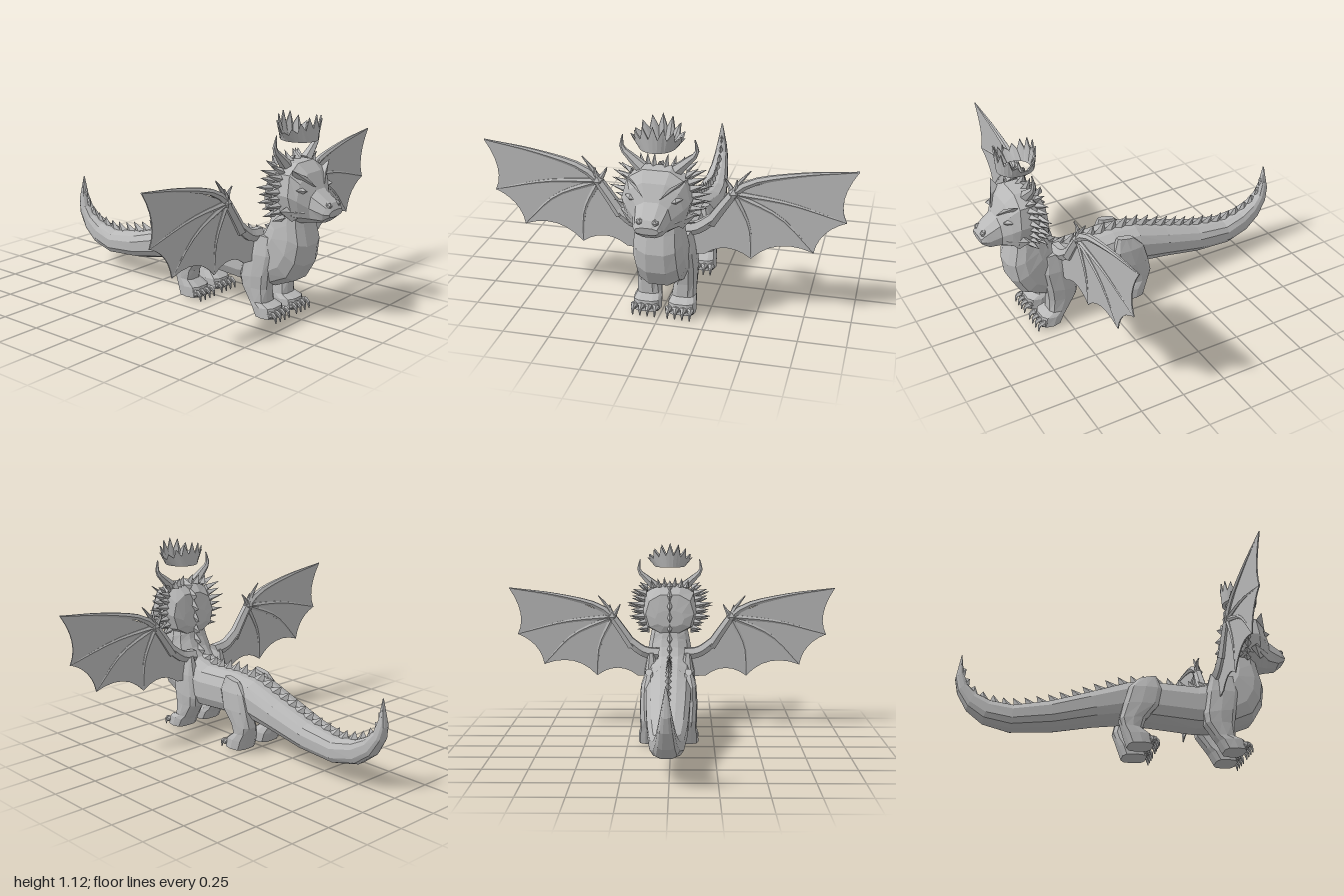
import * as THREE from 'three';
import { ConvexGeometry } from 'three/addons/geometries/ConvexGeometry.js';

const grey = new THREE.MeshStandardMaterial({ color: 0xb8b8b8, flatShading: true });
const V = (x, y, z) => new THREE.Vector3(x, y, z);
const MID = -0.013; // z of the body's centre plane

function mesh(name, geometry, parent) {
  const m = new THREE.Mesh(geometry, grey);
  m.name = name;
  parent.add(m);
  return m;
}

// Skin over rings of points; ends are capped unless the rings form a loop.
function skin(rings, loop = false) {
  const n = rings[0].length, pos = [], idx = [];
  rings.forEach(r => r.forEach(p => pos.push(p.x, p.y, p.z)));
  const count = loop ? rings.length : rings.length - 1;
  for (let i = 0; i < count; i++) {
    for (let j = 0; j < n; j++) {
      const a = i * n + j, b = i * n + (j + 1) % n;
      const c = ((i + 1) % rings.length) * n + j, d = ((i + 1) % rings.length) * n + (j + 1) % n;
      idx.push(a, b, d, a, d, c);
    }
  }
  if (!loop) {
    const e = (rings.length - 1) * n;
    for (let j = 1; j < n - 1; j++) idx.push(0, j + 1, j, e, e + j, e + j + 1);
  }
  // turn the faces outward if the enclosed volume is negative
  let vol = 0;
  const at = k => V(pos[k * 3], pos[k * 3 + 1], pos[k * 3 + 2]);
  for (let k = 0; k < idx.length; k += 3) vol += at(idx[k]).dot(at(idx[k + 1]).cross(at(idx[k + 2])));
  if (vol < 0) idx.reverse();
  const g = new THREE.BufferGeometry();
  g.setAttribute('position', new THREE.Float32BufferAttribute(pos, 3));
  g.setIndex(idx);
  g.computeVertexNormals();
  return g;
}

// Sections: two opposite points in the side plane, half width, sideways offset.
function loft(sections, sides, side = 1, power = 0.75) {
  const soft = v => Math.sign(v) * Math.pow(Math.abs(v), power);
  return skin(sections.map(([ax, ay, bx, by, w, off = 0]) => {
    const ring = [];
    for (let j = 0; j < sides; j++) {
      const a = ((j + 0.5) / sides) * Math.PI * 2, c = soft(Math.cos(a)) , s = soft(Math.sin(a));
      ring.push(V((ax + bx) / 2 + (ax - bx) / 2 * c, (ay + by) / 2 + (ay - by) / 2 * c, MID + side * off + w * s));
    }
    return ring;
  }));
}

// Tube along a curve, tapering from r0 to r1.
function taper(points, r0, r1, steps = 6, sides = 6) {
  const curve = new THREE.CatmullRomCurve3(points);
  const rings = [], frames = curve.computeFrenetFrames(steps);
  for (let i = 0; i <= steps; i++) {
    const p = curve.getPointAt(i / steps), r = r0 + (r1 - r0) * i / steps, ring = [];
    for (let j = 0; j < sides; j++) {
      const a = j / sides * Math.PI * 2;
      ring.push(p.clone().addScaledVector(frames.normals[i], r * Math.cos(a)).addScaledVector(frames.binormals[i], r * Math.sin(a)));
    }
    rings.push(ring);
  }
  return skin(rings);
}

// Pointed blade with a diamond base.
function blade(base, tip, along, across) {
  return new ConvexGeometry([base.clone().add(along), base.clone().sub(along),
    base.clone().add(across), base.clone().sub(across), tip]);
}

// Body and tail
const BODY = [
  [-0.91, 0.53, -0.914, 0.525, 0.004], [-0.895, 0.42, -0.94, 0.38, 0.028], [-0.87, 0.35, -0.925, 0.3, 0.042],
  [-0.82, 0.3, -0.87, 0.205, 0.055], [-0.74, 0.262, -0.78, 0.135, 0.07], [-0.62, 0.24, -0.63, 0.1, 0.092],
  [-0.42, 0.275, -0.4, 0.12, 0.112], [-0.2, 0.345, -0.17, 0.165, 0.125], [0, 0.415, 0.02, 0.19, 0.132],
  [0.15, 0.43, 0.15, 0.18, 0.135], [0.4, 0.42, 0.4, 0.16, 0.138], [0.5, 0.45, 0.6, 0.17, 0.14],
  [0.54, 0.5, 0.73, 0.225, 0.14], [0.555, 0.53, 0.785, 0.32, 0.14], [0.565, 0.55, 0.8, 0.43, 0.132],
  [0.575, 0.58, 0.775, 0.53, 0.122], [0.6, 0.63, 0.76, 0.6, 0.11]];

const HEAD = [
  [0.575, 0.72, 0.565, 0.62, 0.09], [0.595, 0.82, 0.58, 0.575, 0.15], [0.66, 0.88, 0.66, 0.56, 0.178],
  [0.74, 0.88, 0.77, 0.555, 0.178], [0.795, 0.83, 0.79, 0.558, 0.15], [0.835, 0.745, 0.83, 0.565, 0.098],
  [0.92, 0.685, 0.89, 0.575, 0.078], [0.938, 0.65, 0.932, 0.61, 0.062]];

const FORELEG = [
  [0.61, 0.46, 0.47, 0.47, 0.02, 0.112], [0.63, 0.36, 0.44, 0.36, 0.045, 0.11], [0.61, 0.25, 0.42, 0.22, 0.058, 0.105],
  [0.6, 0.17, 0.43, 0.17, 0.06, 0.1], [0.6, 0.095, 0.485, 0.095, 0.066, 0.095],
  [0.65, 0.075, 0.505, 0.07, 0.076, 0.095], [0.66, 0.018, 0.535, 0.018, 0.078, 0.095]];
const HINDLEG = [
  [0.16, 0.43, 0.06, 0.41, 0.02, 0.115], [0.19, 0.35, 0, 0.35, 0.042, 0.118], [0.17, 0.25, -0.03, 0.25, 0.052, 0.115],
  [0.1, 0.17, -0.05, 0.16, 0.056, 0.108], [0.08, 0.11, -0.035, 0.12, 0.062, 0.1],
  [0.13, 0.075, -0.02, 0.075, 0.076, 0.095], [0.14, 0.018, 0, 0.018, 0.078, 0.095]];

function leg(name, sections, side, parent) {
  const g = new THREE.Group();
  g.name = name;
  mesh('legAndFoot', loft(sections, 10, side, 0.65), g);
  const toeX = sections[sections.length - 1][0];
  for (let i = 0; i < 4; i++) {
    const z = MID + side * 0.095 + (i - 1.5) * 0.04;
    const toe = mesh('toe', new THREE.IcosahedronGeometry(0.022, 0), g);
    toe.position.set(toeX - 0.01, 0.045, z);
    mesh('claw', taper([V(toeX - 0.01, 0.05, z), V(toeX + 0.015, 0.045, z), V(toeX + 0.024, 0.004, z)], 0.016, 0.003, 4, 5), g);
  }
  parent.add(g);
}

function wing(side, parent) {
  const g = new THREE.Group();
  g.name = side > 0 ? 'leftWing' : 'rightWing';
  const X = 0.515, W = (z, y, dx = 0) => V(X + dx, y, side * z);
  // scalloped membrane
  const s = new THREE.Shape();
  s.moveTo(0.1, 0.45);
  s.lineTo(0.24, 0.51);
  s.lineTo(0.36, 0.685);
  s.quadraticCurveTo(0.62, 0.835, 0.995, 0.866);
  s.quadraticCurveTo(0.885, 0.7, 0.947, 0.583);
  s.quadraticCurveTo(0.81, 0.53, 0.786, 0.396);
  s.quadraticCurveTo(0.59, 0.47, 0.46, 0.326);
  s.quadraticCurveTo(0.33, 0.42, 0.21, 0.325);
  s.lineTo(0.1, 0.32);
  const skinGeo = new THREE.ExtrudeGeometry(s, { depth: 0.006, bevelEnabled: false, curveSegments: 6 });
  skinGeo.translate(0, 0, -0.003).rotateY(-side * Math.PI / 2).translate(X, 0, 0);
  mesh('membrane', skinGeo, g);
  // arm, finger bones and knuckle claws
  mesh('upperArm', taper([W(0.08, 0.46), W(0.17, 0.475), W(0.26, 0.54)], 0.04, 0.032), g);
  mesh('forearm', taper([W(0.24, 0.51), W(0.3, 0.6), W(0.37, 0.7)], 0.034, 0.026), g);
  const knuckle = mesh('knuckle', new THREE.IcosahedronGeometry(0.034, 0), g);
  knuckle.position.copy(W(0.365, 0.69));
  const joint = W(0.36, 0.69);
  mesh('leadingBone', taper([joint, W(0.45, 0.755), W(0.7, 0.822), W(0.995, 0.866)], 0.024, 0.004, 9), g);
  [[0.65, 0.66, 0.947, 0.583], [0.61, 0.575, 0.786, 0.396], [0.445, 0.51, 0.46, 0.326]].forEach(([mz, my, tz, ty]) =>
    mesh('fingerBone', taper([joint, W(mz, my), W(tz, ty)], 0.018, 0.004, 7), g));
  [[0.33, 0.74, 0.315, 0.768], [0.4, 0.76, 0.45, 0.82], [0.375, 0.73, 0.38, 0.765]].forEach(([mz, my, tz, ty], i) =>
    mesh('wingClaw', taper([joint, W(mz, my, (i - 1) * 0.01), W(tz, ty, 0)], 0.02, 0.003, 4), g));
  parent.add(g);
}

function crown(parent) {
  const rings = [], n = 32;
  for (let i = 0; i < n; i++) {
    const a = i / n * Math.PI * 2, c = Math.cos(a), s = Math.sin(a);
    const peak = 1.04 + 0.085 * Math.pow(Math.abs(c), 1.5);
    const y = i % 2 ? 1.012 + (peak - 1.012) * 0.4 : peak;
    const k = (y - 0.985) / (peak - 0.985);
    const at = (r, h, flare) => V(0.695 + (r + 0.004 * flare) * c, h, MID + (r - 0.008 + 0.045 * flare) * s);
    rings.push([at(0.102, 0.985, 0), at(0.104, y, k), at(0.097, y, k), at(0.08, 0.985, 0)]);
  }
  mesh('crown', skin(rings, true), parent);
}

export function createModel() {
  const model = new THREE.Group();
  model.name = 'dragon';
  mesh('bodyAndTail', loft(BODY, 12), model);

  // Head with brows, eyes and nostrils
  const head = new THREE.Group();
  head.name = 'head';
  model.add(head);
  mesh('skull', loft(HEAD, 10, 1, 0.8), head);
  for (const s of [1, -1]) {
    const Z = z => MID + s * z;
    mesh('brow', blade(V(0.79, 0.79, Z(0.085)), V(0.775, 0.86, Z(0.17)), V(0.045, -0.03, -s * 0.045), V(0.02, 0.025, 0)), head);
    mesh('eye', blade(V(0.8, 0.745, Z(0.115)), V(0.832, 0.75, Z(0.12)), V(-0.012, 0.008, s * 0.035), V(0, 0.02, 0)), head);
    mesh('nostril', new THREE.IcosahedronGeometry(0.02, 0), head).position.set(0.915, 0.672, Z(0.04));
    mesh('cheek', blade(V(0.76, 0.63, Z(0.14)), V(0.72, 0.64, Z(0.195)), V(0.06, 0, -s * 0.03), V(0, 0.05, 0)), head);
    mesh('horn', taper([V(0.68, 0.86, Z(0.09)), V(0.68, 0.915, Z(0.15)), V(0.68, 0.96, Z(0.192)), V(0.685, 1.03, Z(0.185))], 0.034, 0.003, 7), head);
    // two fans of spikes around the face
    for (let row = 0; row < 2; row++) {
      for (let i = 0; i < 8; i++) {
        const t = (i + row * 0.5) / 8, x = 0.69 - row * 0.045;
        const y = 0.59 + 0.28 * t, z = 0.13 + 0.03 * Math.sin(t * Math.PI);
        const reach = (0.055 + 0.05 * Math.sin(t * Math.PI)) * (i % 2 ? 0.8 : 1.05);
        mesh('faceSpike', blade(V(x, y, Z(z)), V(x - 0.025, y - 0.015 + 0.06 * t, Z(z + reach)),
          V(0.022, 0, 0), V(0, 0.022, 0)), head);
      }
    }
    // small crest spikes over the forehead
    for (let i = 0; i < 3; i++) {
      mesh('crestSpike', blade(V(0.67 - 0.02 * i, 0.86, Z(0.03 + 0.035 * i)), V(0.63 - 0.01 * i, 0.925 - 0.008 * i, Z(0.035 + 0.04 * i)),
        V(0.035, 0, 0), V(0, 0, 0.018)), head);
    }
  }

  // Row of spines from tail tip to crown of the head
  const line = BODY.slice(1, 15).map(([x, y]) => V(x, y, MID));
  line.push(V(0.572, 0.63, MID), V(0.575, 0.72, MID), V(0.595, 0.81, MID), V(0.64, 0.87, MID));
  const ridge = new THREE.CatmullRomCurve3(line), spines = new THREE.Group(), count = 30;
  spines.name = 'spines';
  model.add(spines);
  for (let i = 0; i < count; i++) {
    const u = i / (count - 1), p = ridge.getPointAt(u), t = ridge.getTangentAt(u);
    const n = V(-t.y, t.x, 0), k = Math.min(1, 0.5 + u * 2.5) * (u > 0.78 ? 0.75 : 1);
    p.addScaledVector(n, -0.012);
    const tip = p.clone().addScaledVector(n, 0.068 * k).addScaledVector(t, -0.042 * k);
    mesh('spine', blade(p, tip, t.clone().multiplyScalar(0.045), V(0, 0, 0.02)), spines);
  }

  for (const s of [1, -1]) {
    const label = s > 0 ? 'left' : 'right';
    leg(label + 'Foreleg', FORELEG, s, model);
    leg(label + 'HindLeg', HINDLEG, s, model);
    wing(s, model);
  }
  crown(model);
  return model;
}
